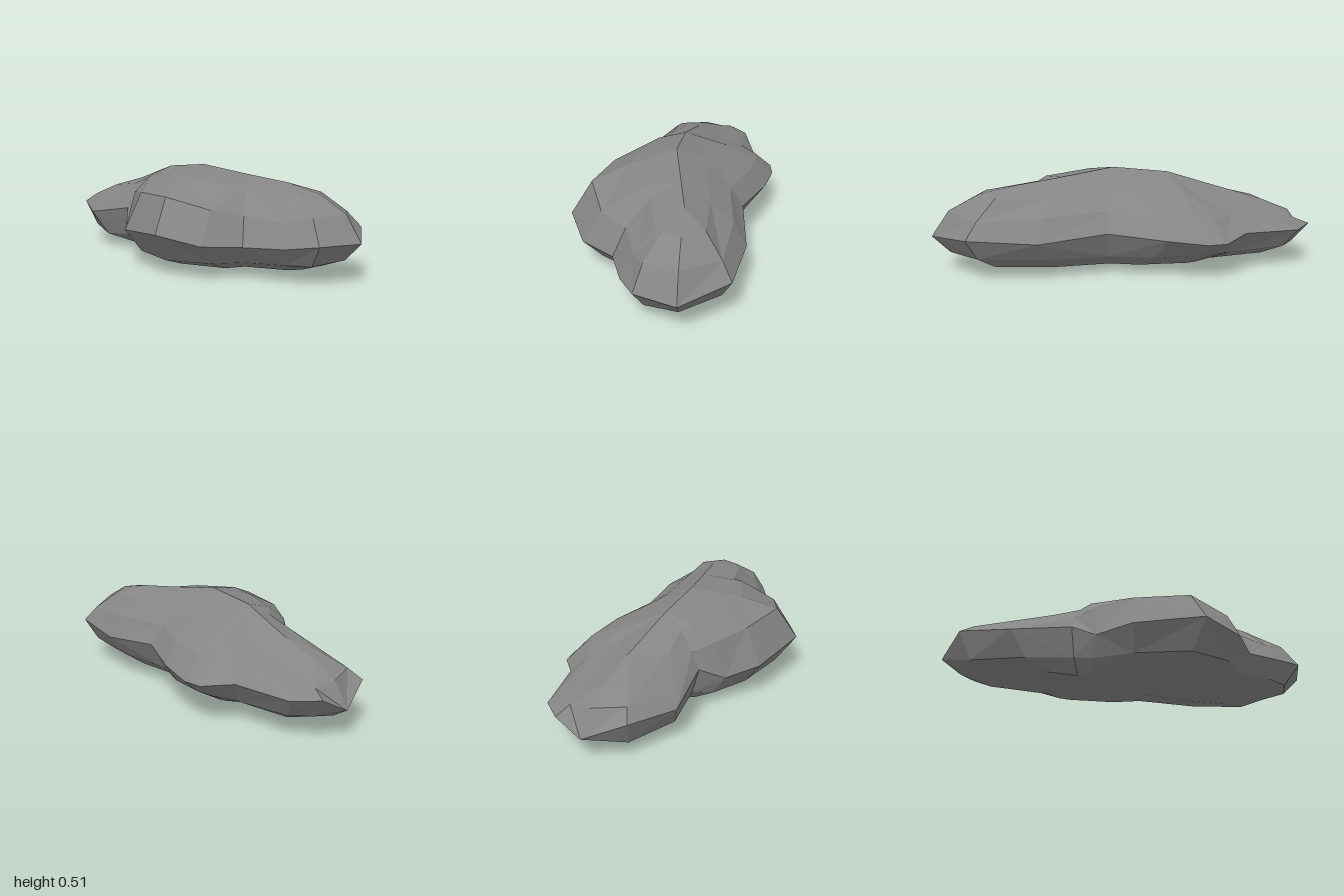
import * as THREE from 'three';

// Rim stations around the rock: x, z, rim height, shoulder height, mid-slope height, underside height
const STATIONS = [
  [1.00, -0.11, 0.20, 0.33, 0.41, 0.11],
  [0.92, 0.10, 0.20, 0.32, 0.41, 0.09],
  [0.78, 0.18, 0.18, 0.29, 0.41, 0.09],
  [0.58, 0.25, 0.17, 0.31, 0.43, 0.08],
  [0.47, 0.42, 0.18, 0.34, 0.44, 0.08],
  [0.26, 0.52, 0.22, 0.39, 0.46, 0.075],
  [-0.09, 0.43, 0.19, 0.38, 0.46, 0.07],
  [-0.25, 0.30, 0.17, 0.355, 0.44, 0.07],
  [-0.36, 0.20, 0.25, 0.33, 0.42, 0.10],
  [-0.67, 0.22, 0.195, 0.26, 0.37, 0.07],
  [-0.92, 0.09, 0.22, 0.27, 0.33, 0.08],
  [-1.00, -0.11, 0.14, 0.26, 0.32, 0.09],
  [-0.98, -0.25, 0.215, 0.245, 0.30, 0.11],
  [-0.88, -0.355, 0.21, 0.245, 0.29, 0.11],
  [-0.58, -0.41, 0.22, 0.295, 0.365, 0.10],
  [-0.45, -0.515, 0.20, 0.295, 0.375, 0.12],
  [-0.35, -0.525, 0.20, 0.305, 0.385, 0.12],
  [-0.15, -0.485, 0.22, 0.32, 0.41, 0.11],
  [0.13, -0.37, 0.24, 0.34, 0.43, 0.10],
  [0.48, -0.40, 0.21, 0.325, 0.395, 0.11],
  [0.83, -0.345, 0.23, 0.31, 0.405, 0.12],
];

// Spine along the middle: x, z, crest height on top, keel height underneath
const SPINE = [
  [-0.58, -0.08, 0.38, 0.045],
  [-0.25, -0.03, 0.48, 0.015],
  [0.04, -0.01, 0.51, 0],
  [0.32, -0.06, 0.475, 0],
  [0.55, -0.10, 0.45, 0.015],
];

// Spine point that a station's facets run up to
function spineFor(station) {
  const target = station[0] * 0.6;
  return SPINE.reduce((best, p) =>
    (Math.abs(p[0] - target) < Math.abs(best[0] - target) ? p : best));
}

// Rings from the crest, over the rim and back in to the keel: t is the distance out from the spine
const RINGS = [
  { t: 0, y: (s, spine) => spine[2] },
  { t: 0.45, y: (s) => s[4] },
  { t: 0.8, y: (s) => s[3] },
  { t: 1, y: (s) => s[2] },
  { t: 0.8, y: (s) => s[5] },
  { t: 0.5, y: (s) => s[5] * 0.28 + 0.03 * s[0] ** 2 },
  { t: 0, y: (s, spine) => spine[3] },
];

function ringPoints({ t, y }) {
  return STATIONS.map((s) => {
    const spine = spineFor(s);
    return new THREE.Vector3(
      THREE.MathUtils.lerp(spine[0], s[0], t),
      y(s, spine),
      THREE.MathUtils.lerp(spine[1], s[1], t));
  });
}

function rockGeometry() {
  const rings = RINGS.map(ringPoints);
  const n = STATIONS.length;
  const corners = [];

  // Adds a facet unless two of its corners share a spine point
  const facet = (a, b, c) => {
    if (!a.equals(b) && !b.equals(c) && !c.equals(a)) corners.push(a, b, c);
  };

  // Facets between rings, with alternating diagonals
  for (let r = 0; r < rings.length - 1; r++) {
    for (let i = 0; i < n; i++) {
      const j = (i + 1) % n;
      const a = rings[r][i], b = rings[r][j];
      const c = rings[r + 1][i], d = rings[r + 1][j];
      if ((i + r) % 2) {
        facet(a, b, c);
        facet(b, d, c);
      } else {
        facet(a, b, d);
        facet(a, d, c);
      }
    }
  }

  const geometry = new THREE.BufferGeometry().setFromPoints(corners);
  geometry.computeVertexNormals();
  return geometry;
}

export function createModel() {
  const group = new THREE.Group();
  group.name = 'rock';
  const material = new THREE.MeshStandardMaterial({ color: 0x858585, flatShading: true });
  const boulder = new THREE.Mesh(rockGeometry(), material);
  boulder.name = 'boulder';
  group.add(boulder);
  return group;
}
